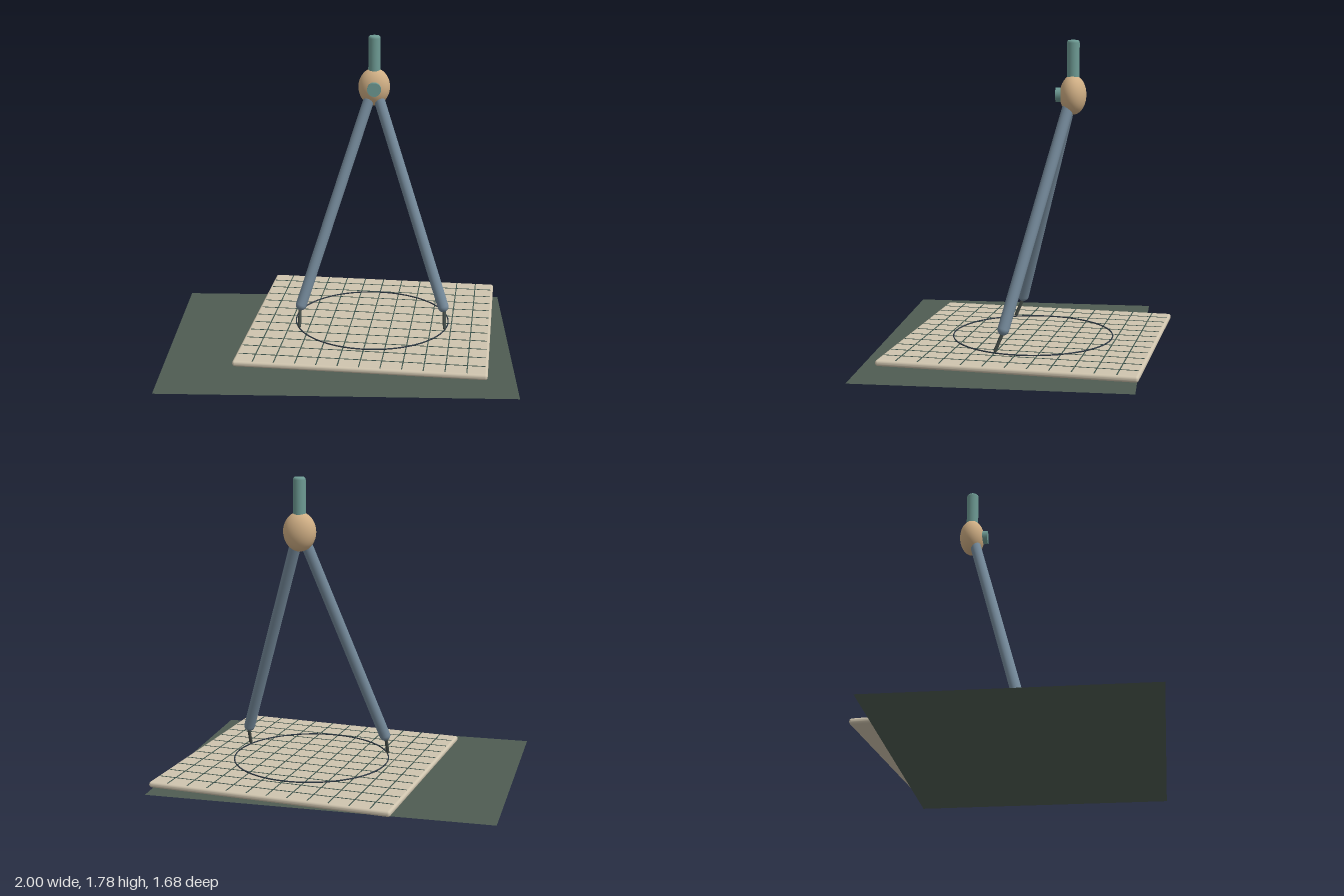
import * as THREE from 'three';
import { RoundedBoxGeometry } from 'three/addons/geometries/RoundedBoxGeometry.js';

const mat = (name, color, side = THREE.FrontSide) => {
  const m = new THREE.MeshStandardMaterial({ color, side });
  m.name = name;
  return m;
};

export function createModel() {
  const model = new THREE.Group();
  model.name = 'drawingCompass';

  const matGreen = mat('dark green', 0x4f5c52, THREE.DoubleSide);
  const paper = mat('paper cream', 0xcfc4ae);
  const gridGreen = mat('grid green', 0x3f564e);
  const ink = mat('ink blue', 0x2c3844);
  const steel = mat('steel blue', 0x74899a);
  const tan = mat('tan', 0xcfae84);
  const teal = mat('teal', 0x6d9a93);
  const lead = mat('dark lead', 0x454d49);

  const add = (name, geo, material, x = 0, y = 0, z = 0, parent = model) => {
    const mesh = new THREE.Mesh(geo, material);
    mesh.name = name;
    mesh.position.set(x, y, z);
    parent.add(mesh);
    return mesh;
  };

  // Capsule running from point a to point b, ends included
  const rod = (name, a, b, r, material) => {
    const dir = b.clone().sub(a);
    const len = dir.length();
    const mesh = add(name, new THREE.CapsuleGeometry(r, len - 2 * r, 5, 16), material);
    mesh.position.copy(a).add(b).multiplyScalar(0.5);
    mesh.quaternion.setFromUnitVectors(new THREE.Vector3(0, 1, 0), dir.normalize());
  };

  // Desk mat: a flat sheet
  const sheet = new THREE.PlaneGeometry(2, 1.525).rotateX(-Math.PI / 2);
  add('deskMat', sheet, matGreen, 0, 0, 0.075);

  // Turned board with a ruled grid
  const cx = 0.19, cz = -0.06;
  const board = new THREE.Group();
  board.name = 'board';
  board.position.set(cx, 0, cz);
  board.rotation.y = -0.098;
  model.add(board);
  add('boardSlab', new RoundedBoxGeometry(1.43, 0.034, 1.43, 3, 0.015), paper, 0, 0.067, 0, board);
  for (let i = -5; i <= 5; i++) {
    add('gridLineAcross', new THREE.BoxGeometry(1.4, 0.003, 0.006), gridGreen, 0, 0.0845, i * 0.12, board);
    add('gridLineAlong', new THREE.BoxGeometry(0.006, 0.003, 1.4), gridGreen, i * 0.12, 0.0845, 0, board);
  }

  // Drawn circle
  const circle = new THREE.TorusGeometry(0.459, 0.004, 6, 96).rotateX(Math.PI / 2);
  add('drawnCircle', circle, ink, cx, 0.089, cz);

  // Two legs with thin points
  for (const [side, s] of [['right', -1], ['left', 1]]) {
    rod(side + 'Leg', new THREE.Vector3(cx + s * 0.022, 1.43, -0.266),
      new THREE.Vector3(cx + s * 0.432, 0.19, 0.06), 0.033, steel);
    rod(side + 'Point', new THREE.Vector3(cx + s * 0.428, 0.23, 0.043),
      new THREE.Vector3(cx + s * 0.431, 0.094, 0.1), 0.01, lead);
  }

  // Hinge hub
  const hz = -0.285;
  add('hub', new THREE.SphereGeometry(1, 32, 20).scale(0.094, 0.112, 0.075), tan, cx, 1.477, hz);

  // Handle with a softened top edge
  const handle = [[0.036, 0], [0.036, 0.257], [0.034, 0.266], [0.028, 0.272], [0, 0.275]]
    .map(([r, y]) => new THREE.Vector2(r, y));
  add('handle', new THREE.LatheGeometry(handle, 24), teal, cx, 1.51, hz);

  // Hinge screw facing the front
  const screw = new THREE.CylinderGeometry(0.041, 0.041, 0.045, 24).rotateX(Math.PI / 2);
  add('hingeScrew', screw, teal, cx, 1.477, -0.21);

  return model;
}
